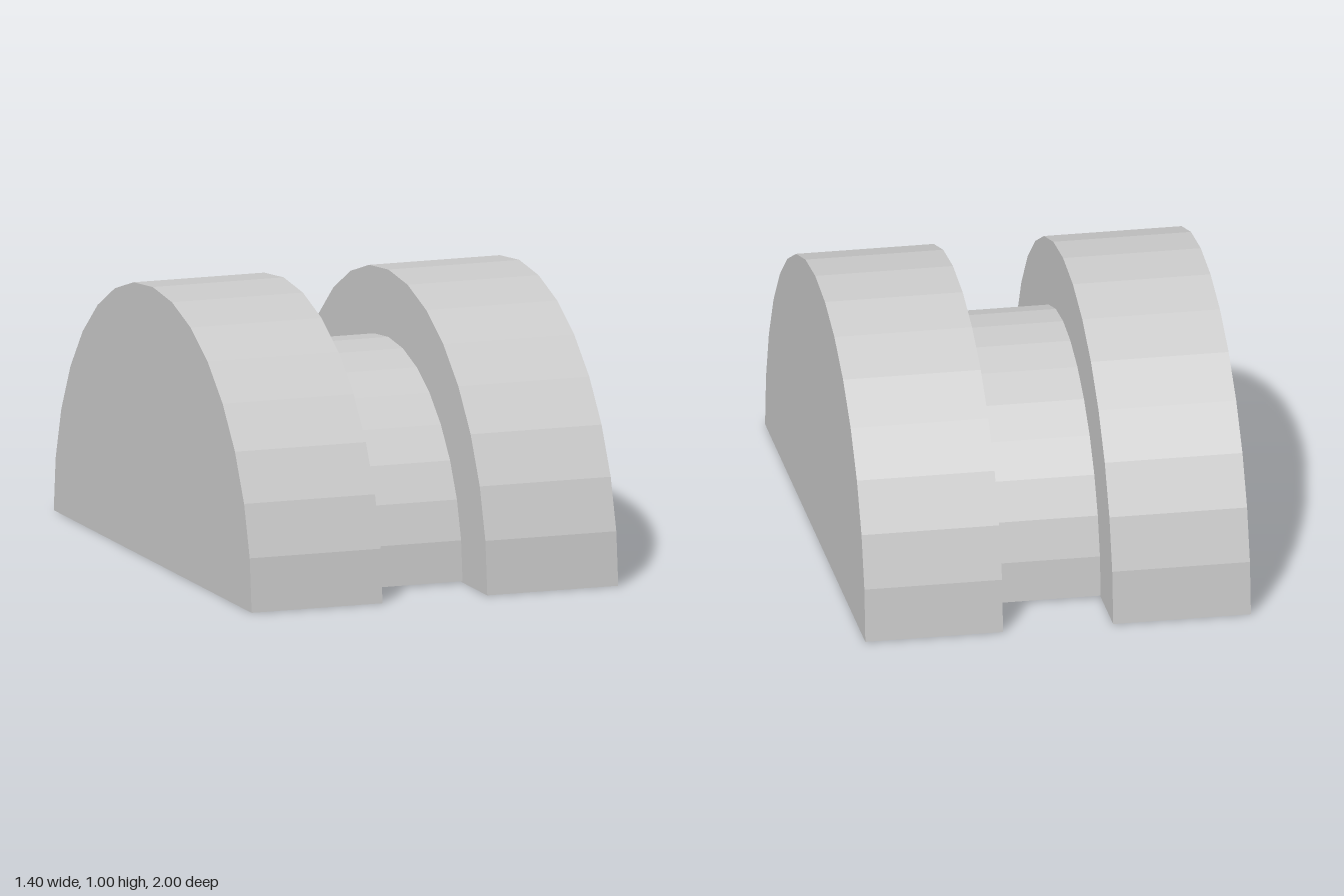
import * as THREE from 'three';

const SEGMENTS = 16;
const material = new THREE.MeshStandardMaterial({ color: 0xcccccc, flatShading: true });

// Solid half cylinder, flat side down, axis along x and centred on it
function halfCylinder(name, radius, width, x, y) {
  const points = [];
  for (let i = 0; i <= SEGMENTS; i++) {
    const a = (Math.PI * i) / SEGMENTS;
    points.push(new THREE.Vector2(Math.cos(a) * radius, Math.sin(a) * radius));
  }
  const geometry = new THREE.ExtrudeGeometry(new THREE.Shape(points), {
    depth: width,
    bevelEnabled: false,
  });
  geometry.translate(0, 0, -width / 2);
  geometry.rotateY(Math.PI / 2);
  const mesh = new THREE.Mesh(geometry, material);
  mesh.name = name;
  mesh.position.set(x, y, 0);
  return mesh;
}

export function createModel() {
  const group = new THREE.Group();
  group.name = 'groovedHalfRoller';

  // Two large outer halves joined by a narrower, slightly raised core
  group.add(halfCylinder('leftDisc', 1, 0.5, 0.45, 0));
  group.add(halfCylinder('rightDisc', 1, 0.5, -0.45, 0));
  group.add(halfCylinder('core', 0.75, 0.4, 0, 0.005));

  return group;
}
